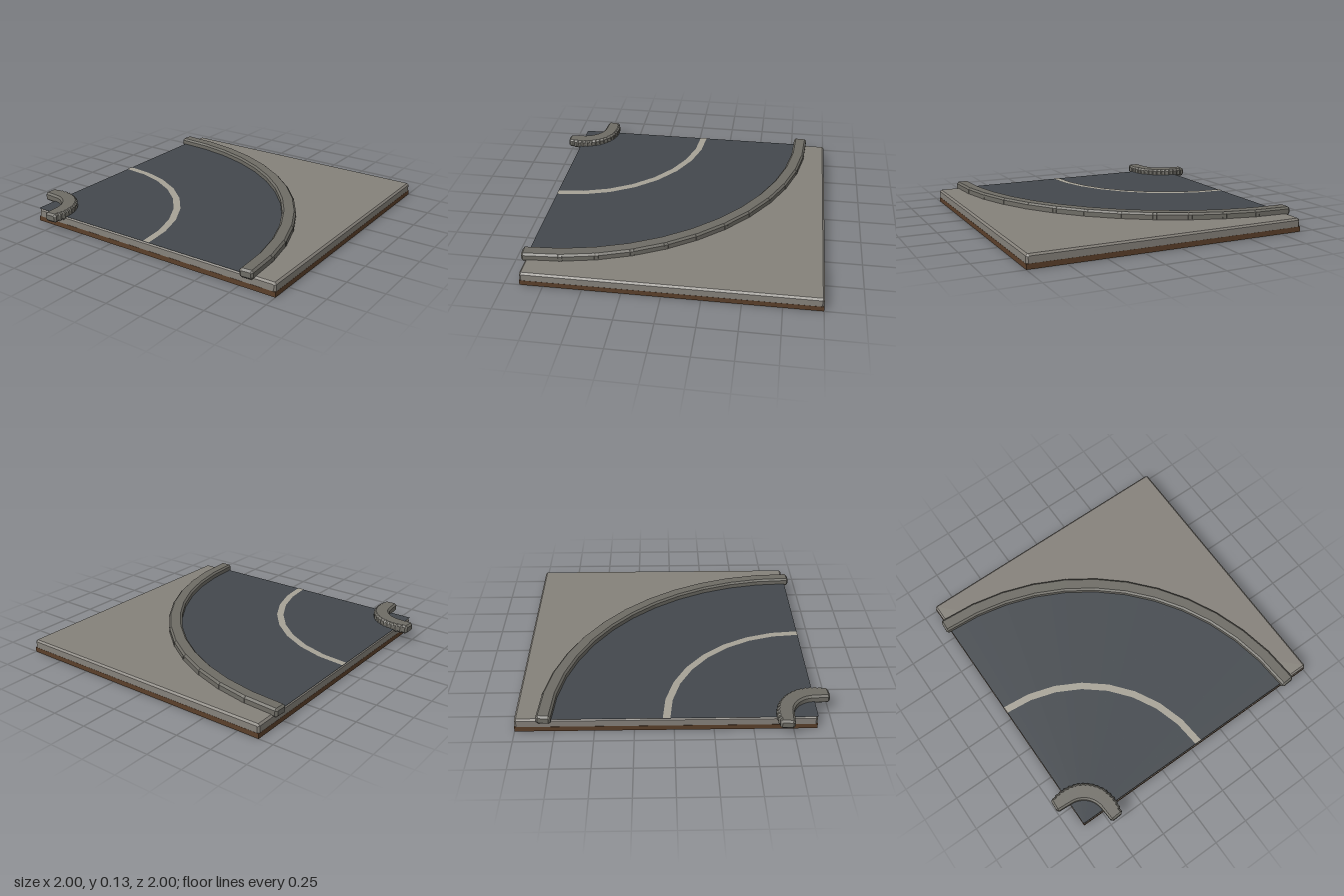
import * as THREE from 'three';

const CORNER = { x: -0.9, z: 0.9 }; // centre of the road bend

const mat = (color) => new THREE.MeshStandardMaterial({ color, flatShading: true });

// Box with every edge chamfered by b, centred on the origin
function chamferBox(w, h, d, b) {
  const x = w / 2 - b, y = h / 2 - b, c = b * 0.414;
  const shape = new THREE.Shape([
    [x - c, -y], [x, -y + c], [x, y - c], [x - c, y],
    [-x + c, y], [-x, y - c], [-x, -y + c], [-x + c, -y],
  ].map(([px, py]) => new THREE.Vector2(px, py)));
  const geo = new THREE.ExtrudeGeometry(shape, {
    depth: d - 2 * b, bevelEnabled: true, bevelSize: b, bevelThickness: b, bevelSegments: 1,
  });
  return geo.center();
}

function addMesh(parent, name, geo, material, x, y, z) {
  const mesh = new THREE.Mesh(geo, material);
  mesh.name = name;
  mesh.position.set(x, y, z);
  parent.add(mesh);
  return mesh;
}

// Flat quarter ring lying on the tile, around the bend centre
function quarterRing(inner, outer, segments) {
  return new THREE.RingGeometry(inner, outer, segments, 1, 0, Math.PI / 2).rotateX(-Math.PI / 2);
}

// Quarter circle of overlapping chamfered kerb stones
function kerb(name, radius, length, material) {
  const group = new THREE.Group();
  group.name = name;
  const count = 12;
  const geo = chamferBox(0.093, 0.061, length, 0.013);
  for (let i = 0; i < count; i++) {
    const a = ((i + 0.5) / count) * Math.PI / 2;
    const stone = addMesh(group, 'kerbStone', geo, material,
      CORNER.x + radius * Math.cos(a), 0.104, CORNER.z - radius * Math.sin(a));
    stone.rotation.y = a;
  }
  return group;
}

export function createModel() {
  const model = new THREE.Group();
  model.name = 'roadCornerTile';

  // Tile: earth layer below, paving slab above
  addMesh(model, 'earthBase', new THREE.BoxGeometry(1.9, 0.034, 1.9), mat(0x5a3f2a), 0.05, 0.017, -0.05);
  addMesh(model, 'pavingSlab', chamferBox(1.898, 0.07, 1.898, 0.012), mat(0x85817a), 0.05, 0.055, -0.05);

  // Road surface and painted centre line
  const road = mat(0x43484d);
  road.side = THREE.DoubleSide;
  const paint = mat(0xa6a296);
  paint.side = THREE.DoubleSide;
  addMesh(model, 'roadSurface', quarterRing(0.001, 1.7, 24), road, CORNER.x, 0.092, CORNER.z);
  addMesh(model, 'centreLine', quarterRing(0.925, 0.972, 8), paint, CORNER.x, 0.095, CORNER.z);

  // Kerbs on both sides of the bend
  const stone = mat(0x6e6c65);
  model.add(kerb('outerKerb', 1.708, 0.28, stone));
  model.add(kerb('innerKerb', 0.198, 0.22, stone));
  return model;
}
